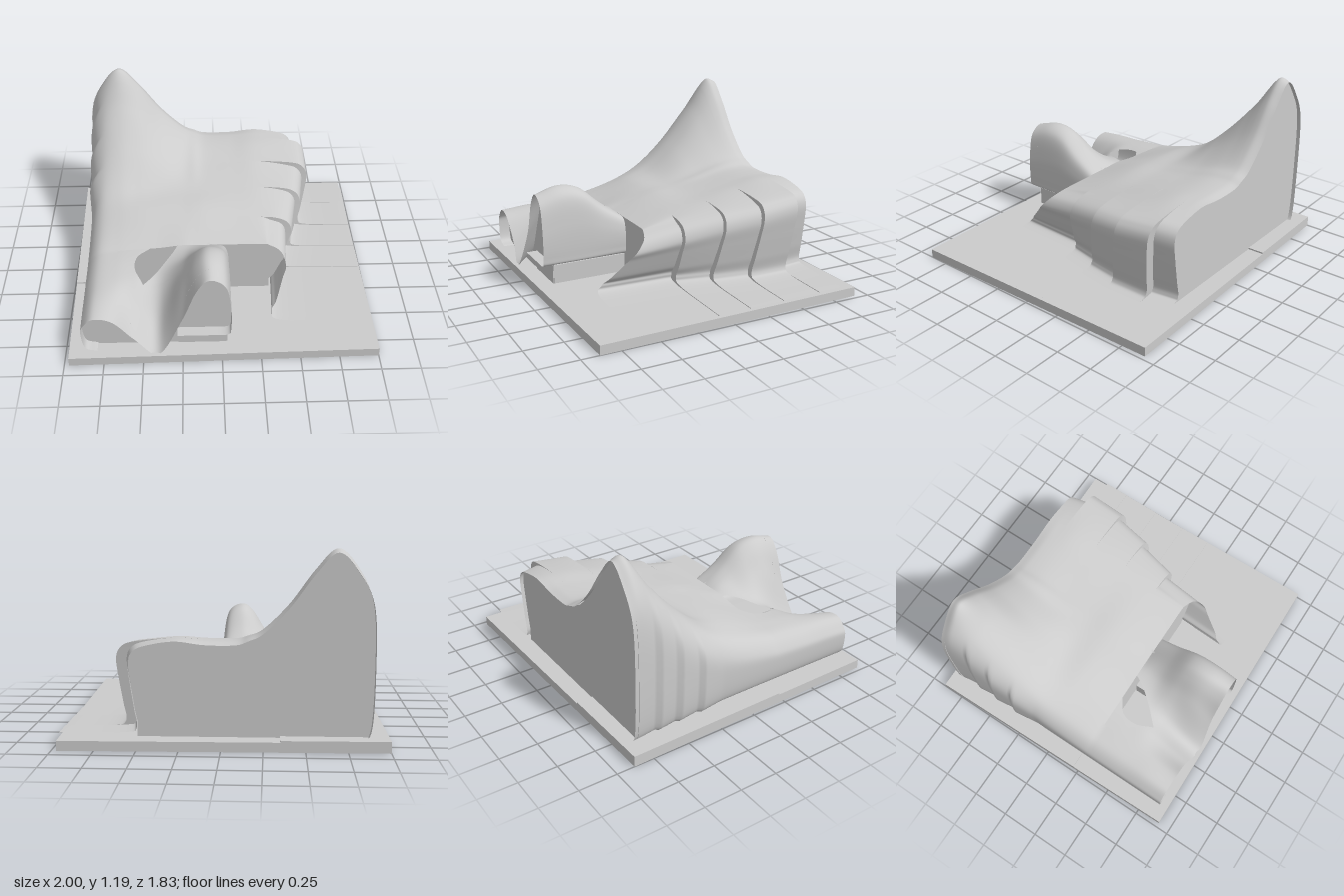
import * as THREE from 'three';
import { mergeVertices } from 'three/addons/utils/BufferGeometryUtils.js';

const SEG = 8; // samples between two control points of a section
const lerp = THREE.MathUtils.lerp;

// Roof heights at the stations ROOF_X, one row per depth z
const ROOF_X = [-0.8, -0.68, -0.55, -0.4, -0.25, -0.16, -0.08, 0.1, 0.28];
const ROOF = [
  [-0.81, [1.05, 1.165, 1.04, 0.84, 0.69, 0.645, 0.62, 0.62, 0.64]],
  [-0.74, [1.07, 1.18, 1.06, 0.86, 0.71, 0.66, 0.635, 0.635, 0.645]],
  [-0.60, [0.92, 0.98, 0.93, 0.79, 0.68, 0.65, 0.63, 0.63, 0.64]],
  [-0.40, [0.70, 0.75, 0.73, 0.67, 0.61, 0.60, 0.59, 0.595, 0.60]],
  [-0.20, [0.54, 0.575, 0.57, 0.56, 0.555, 0.555, 0.555, 0.555, 0.555]],
  [0.00, [0.45, 0.49, 0.51, 0.52, 0.525, 0.53, 0.53, 0.52, 0.51]],
  [0.28, [0.38, 0.40, 0.41, 0.42, 0.44, 0.44, 0.44, 0.44, 0.44]],
];
// The front wing: seven shared stations, then heights at x = 0.02 and x = 0.054
const WING = [
  [0.28, [0.38, 0.40, 0.41, 0.42, 0.44, 0.44, 0.44, 0.43, 0.36]],
  [0.42, [0.37, 0.39, 0.39, 0.39, 0.45, 0.51, 0.54, 0.51, 0.40]],
  [0.56, [0.36, 0.375, 0.36, 0.34, 0.49, 0.605, 0.655, 0.61, 0.45]],
  [0.70, [0.355, 0.35, 0.27, 0.21, 0.475, 0.63, 0.685, 0.63, 0.45]],
  [0.86, [0.34, 0.31, 0.16, 0.055, 0.32, 0.55, 0.645, 0.59, 0.42]],
];
// Falling strips on the left: z range, fold x, fold height, forward lean of the foot
const STRIPS = [
  { z: [-0.81, -0.69], x: [0.555, 0.58], h: [0.62, 0.625], lean: [0, 0.06], tuck: 0.05 },
  { z: [-0.69, -0.44], x: [0.645, 0.645], h: [0.625, 0.595], lean: [0.06, 0.08], tuck: 0.05 },
  { z: [-0.44, -0.20], x: [0.61, 0.575], h: [0.575, 0.545], lean: [0.08, 0.08], tuck: 0.06 },
  { z: [-0.20, 0.06], x: [0.54, 0.495], h: [0.535, 0.49], lean: [0.08, 0.04], tuck: 0.075 },
  { z: [0.06, 0.28], x: [0.455, 0.435], h: [0.475, 0.44], lean: [0.04, 0.355], tuck: 0.1 },
];

// Smooth interpolation of the table rows at depth z
function rowAt(table, z) {
  const n = table.length;
  let i = 0;
  while (i < n - 2 && z > table[i + 1][0]) i++;
  const slope = (j, k) => {
    const a = table[Math.max(j - 1, 0)], b = table[Math.min(j + 1, n - 1)];
    return (b[1][k] - a[1][k]) / (b[0] - a[0]);
  };
  const [z0, a] = table[i], [z1, b] = table[i + 1];
  const d = z1 - z0, t = (z - z0) / d, s = t * t * (3 - 2 * t);
  return a.map((v, k) => lerp(v, b[k], s)
    + d * (t * (1 - t) ** 2 * slope(i, k) - t * t * (1 - t) * slope(i + 1, k)));
}

const V = (x, y, z) => new THREE.Vector3(x, y, z);
const sample = pts => new THREE.CatmullRomCurve3(pts, false, 'catmullrom', 0.5).getPoints((pts.length - 1) * SEG);

// Wall on the right side, curling in at the ground, with shallow notches at the back
function rightWall(h, z, notch) {
  const bulge = 0.022 * notch;
  return [V(-0.79, 0.068, z), V(-0.865 - bulge, 0.1, z),
    V(-0.885 - bulge, 0.08 + 0.42 * h, z), V(-0.868 - bulge, 0.82 * h, z)];
}

function mainSection(strip, t) {
  const at = p => lerp(p[0], p[1], t);
  const z = at(strip.z), e = at(strip.x), h = at(strip.h), k = strip.tuck;
  const foot = 0.062 + 0.004 * (STRIPS.length - STRIPS.indexOf(strip));
  const y = rowAt(ROOF, z);
  const notch = z < -0.16 ? 1 - ((z + 0.81) / 0.163) % 1 : 0;
  const lean = v => z + at(strip.lean) * Math.max(0, (h - v) / (h - 0.06));
  const fall = [[e - 0.11, h - 0.005], [e - 0.03, h - 0.04], [e, h - 0.11], [e - 0.25 * k, h * 0.62],
    [e - 0.7 * k, h * 0.38], [e - k, 0.12], [e - k + 0.07, foot + 0.008], [0.975, foot]];
  return sample([...rightWall(y[0], z, notch), ...ROOF_X.map((x, i) => V(x, y[i], z)),
    ...fall.map(([x, v]) => V(x, v, lean(v)))]);
}

function wingSection(z) {
  const y = rowAt(WING, z);
  const end = [[0.02, y[7]], [0.054, y[8]], [0.056, 0.25], [0.035, 0.192], [-0.1, 0.188], [-0.28, 0.188]];
  const pts = [...rightWall(y[0], z, 0), ...ROOF_X.slice(0, 7).map((x, i) => V(x, y[i], z)),
    ...end.map(([x, v]) => V(x, v, z))];
  // the low point of the front edge pushes forward a little
  pts[7].z += 0.025 * THREE.MathUtils.smoothstep(z, 0.7, 0.86);
  return sample(pts);
}

// Wing rows are re-spaced to meet the rim of the skylight opening
const HOLE = [[0.28, [-0.46, -0.28]], [0.34, [-0.54, -0.31]], [0.45, [-0.555, -0.395]], [0.56, [-0.5, -0.5]]];
const HOLE_FROM = 5 * SEG, HOLE_MID = 6 * SEG + SEG / 2, HOLE_TO = 10 * SEG;

// Point on a wing section's roof at a given x
function roofPoint(section, x) {
  for (let i = HOLE_FROM - SEG; i < HOLE_TO; i++) {
    const a = section[i], b = section[i + 1];
    if (x <= b.x) return a.clone().lerp(b, (x - a.x) / (b.x - a.x));
  }
  return section[HOLE_TO].clone();
}

function wingRow(z) {
  const s = wingSection(z);
  const [l, r] = z < 0.56 ? rowAt(HOLE, z) : [-0.5, -0.5];
  const row = s.slice(0, HOLE_FROM);
  const x0 = s[HOLE_FROM].x, x1 = s[HOLE_TO].x, nl = HOLE_MID - HOLE_FROM, nr = HOLE_TO - HOLE_MID;
  for (let i = 0; i <= nl; i++) row.push(roofPoint(s, lerp(x0, l, i / nl)));
  for (let i = 0; i <= nr; i++) row.push(roofPoint(s, lerp(r, x1, i / nr)));
  return row.concat(s.slice(HOLE_TO + 1));
}

// Lofts rows of points; cells for which skip() holds are left open
function loft(rows, positions, indices, skip = () => false) {
  const base = positions.length / 3, n = rows[0].length;
  rows.forEach(r => r.forEach(p => positions.push(p.x, p.y, p.z)));
  for (let j = 0; j < rows.length - 1; j++) for (let i = 0; i < n - 1; i++) {
    if (skip(i, j)) continue;
    const a = base + j * n + i, b = a + n;
    indices.push(a, b, a + 1, a + 1, b, b + 1);
  }
}

function surface(positions, indices) {
  const g = new THREE.BufferGeometry();
  g.setAttribute('position', new THREE.Float32BufferAttribute(positions, 3));
  g.setIndex(indices);
  const merged = mergeVertices(g, 1e-4);
  merged.computeVertexNormals();
  return merged;
}

export function createModel() {
  const group = new THREE.Group();
  const grey = new THREE.MeshStandardMaterial({ color: 0xcccccc });
  const thin = new THREE.MeshStandardMaterial({ color: 0xcccccc, side: THREE.DoubleSide });
  const add = (name, geometry, material = grey) => {
    const mesh = new THREE.Mesh(geometry, material);
    mesh.name = name;
    group.add(mesh);
    return mesh;
  };
  const box = (name, x0, x1, y0, y1, z0, z1, turn = 0) => {
    const g = new THREE.BoxGeometry(x1 - x0, y1 - y0, z1 - z0);
    g.translate((x0 + x1) / 2, (y0 + y1) / 2, (z0 + z1) / 2).rotateY(turn);
    add(name, g);
  };

  // Ground slab with a thin raised plate, both slightly turned
  box('groundSlab', -0.985, 0.985, 0, 0.06, -0.9, 0.9, 0.017);
  box('raisedPlate', -0.985, -0.335, 0.06, 0.07, -0.9, 0.2, 0.017);

  // Flowing roof: main hall strips and front wing share one smooth skin
  const positions = [], indices = [];
  for (const strip of STRIPS) {
    const rows = [];
    for (let j = 0; j <= 12; j++) rows.push(mainSection(strip, j / 12));
    loft(rows, positions, indices);
  }
  const wing = [], steps = 14;
  for (let j = 0; j <= steps; j++) wing.push(wingRow(lerp(0.28, 0.56, j / steps)));
  for (let j = 1; j <= steps; j++) wing.push(wingRow(lerp(0.56, 0.86, j / steps)));
  loft(wing, positions, indices, (i, j) => i === HOLE_MID && j < steps);
  add('flowingRoof', surface(positions, indices), thin);

  // Narrow faces closing the steps between neighbouring strips
  for (let i = 0; i < STRIPS.length - 1; i++) {
    const p = [], f = [];
    loft([mainSection(STRIPS[i], 1), mainSection(STRIPS[i + 1], 0)].map(s => s.slice(12 * SEG)), p, f);
    add('stripReveal', surface(p, f), thin);
  }

  // Upright walls fill the roof's cross-section, up to a given control point
  const endWall = (name, section, last, z) => {
    const outline = section.slice(0, last * SEG + 1).filter(p => p.y > 0.062);
    const shape = new THREE.Shape(outline.map(p => new THREE.Vector2(p.x, p.y)));
    shape.lineTo(outline[outline.length - 1].x, 0.06);
    shape.lineTo(outline[0].x, 0.06);
    add(name, new THREE.ShapeGeometry(shape), thin).position.z = z;
  };
  endWall('backWall', mainSection(STRIPS[0], 0), 18, -0.785);
  endWall('frontWall', mainSection(STRIPS[4], 1), 18, 0.275);
  endWall('wingFrontWall', wingSection(0.785), 14, 0.785);

  // Plinth under the front wing
  box('wingPlinth', -0.28, 0.03, 0.06, 0.185, 0.28, 0.79);
  return group;
}
